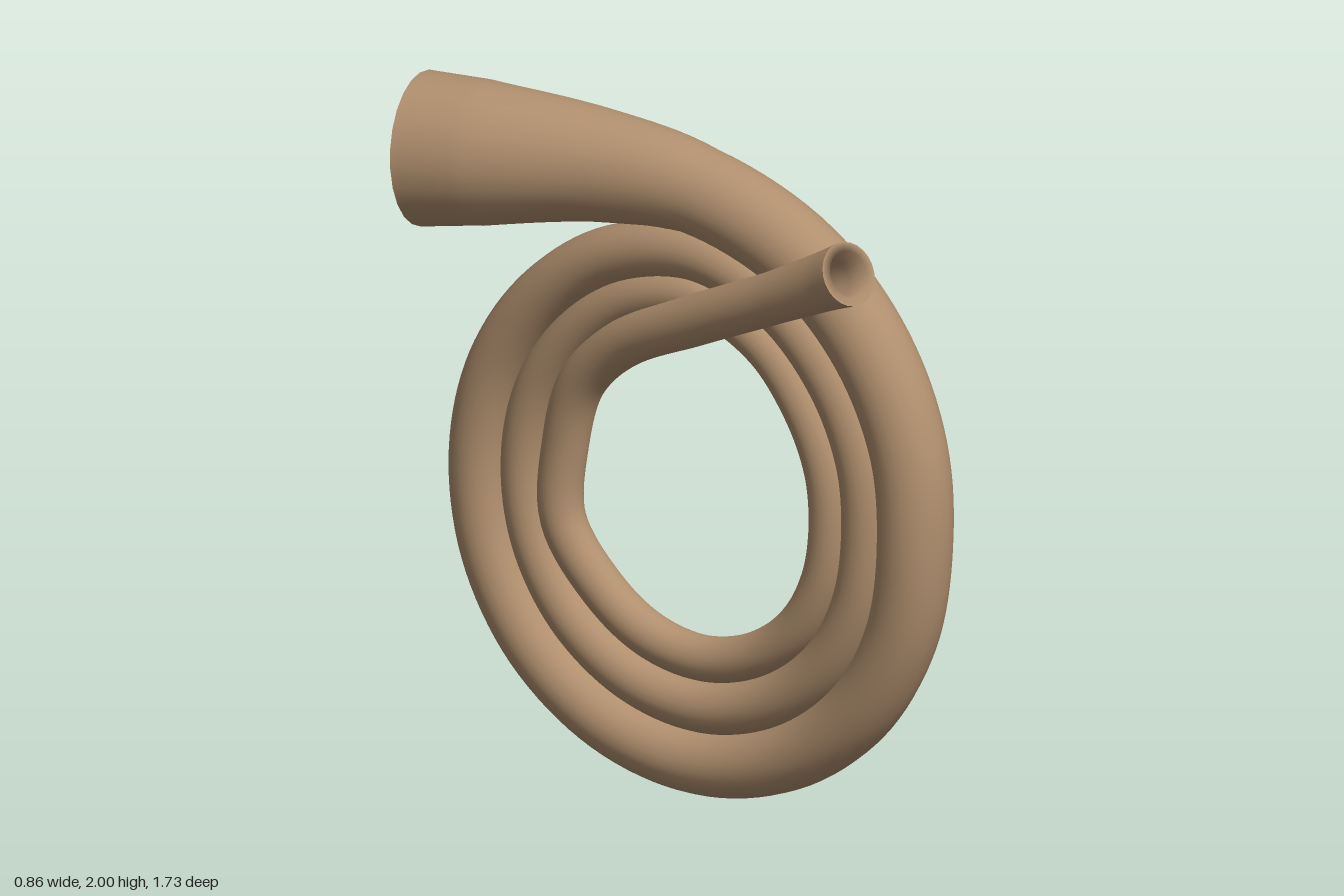
import * as THREE from 'three';

const SIDES = 24;

// Centre line and bore of the whole tube, from wide mouth to narrow end
function layout() {
  const path = [], bore = [];
  const add = (x, y, z, r) => { path.push(new THREE.Vector3(x, y, z)); bore.push(r); };

  // flared mouth leading into the coil
  add(-0.23, 1.778, -0.78, 0.222);
  add(-0.145, 1.793, -0.6, 0.207);
  add(0.015, 1.802, -0.3, 0.163);
  add(0.14, 1.775, 0, 0.128);

  // shrinking spiral in a tilted plane: distance per eighth turn, bore per quarter turn
  const dist = [0.88, 0.78, 0.715, 0.745, 0.78, 0.765, 0.73, 0.725, 0.73, 0.62, 0.55,
    0.58, 0.615, 0.61, 0.59, 0.59, 0.595, 0.475, 0.42, 0.445, 0.475, 0.475];
  const size = [0.125, 0.108, 0.092, 0.087, 0.08, 0.075, 0.076, 0.067, 0.067, 0.063, 0.066, 0.066];
  const spiral = new THREE.SplineCurve(dist.map((d, i) => new THREE.Vector2(i, d)));
  for (let q = 0.25; q <= 10.5; q += 0.25) {
    const a = q * Math.PI / 2, d = spiral.getPoint(q / 10.5).y, k = Math.floor(q);
    const z = 0.03 + d * Math.sin(a);
    const x = 0.1 + 0.29 * z + 0.0023 * q + 0.05 * Math.max(0, 1 - q);
    add(x, 0.87 + d * Math.cos(a), z, THREE.MathUtils.lerp(size[k], size[k + 1], q - k));
  }

  // narrow pipe crossing the side of the coil
  add(-0.01, 0.72, -0.43, 0.066);
  add(-0.005, 0.95, -0.425, 0.067);
  add(0.005, 1.14, -0.365, 0.069);
  add(0.03, 1.285, -0.22, 0.072);
  add(0.065, 1.425, 0.07, 0.074);
  add(0.105, 1.565, 0.38, 0.076);
  add(0.13, 1.665, 0.59, 0.086);
  add(0.135, 1.705, 0.675, 0.093);
  return { curve: new THREE.CatmullRomCurve3(path), bore };
}

// Skin circular rings placed at stations [t, radius scale] along the path
function sweep({ curve, bore }, stations) {
  const pos = [], index = [];
  const planeNormal = new THREE.Vector3(1, 0, -0.29).normalize();
  stations.forEach(([t, scale], i) => {
    const p = curve.getPoint(t), tan = curve.getTangent(t);
    const v = planeNormal.clone().addScaledVector(tan, -planeNormal.dot(tan)).normalize();
    const u = v.clone().cross(tan);
    const f = t * (bore.length - 1), k = Math.min(Math.floor(f), bore.length - 2);
    const r = scale * THREE.MathUtils.lerp(bore[k], bore[k + 1], f - k);
    for (let j = 0; j < SIDES; j++) {
      const a = j / SIDES * Math.PI * 2;
      const q = p.clone().addScaledVector(u, r * Math.cos(a)).addScaledVector(v, r * Math.sin(a));
      pos.push(q.x, q.y, q.z);
      if (i === 0) continue;
      const a1 = (i - 1) * SIDES + j, b1 = (i - 1) * SIDES + (j + 1) % SIDES;
      index.push(a1, b1, a1 + SIDES, b1, b1 + SIDES, a1 + SIDES);
    }
  });
  const g = new THREE.BufferGeometry();
  g.setAttribute('position', new THREE.Float32BufferAttribute(pos, 3));
  g.setIndex(index);
  g.computeVertexNormals();
  return g;
}

export function createModel() {
  const group = new THREE.Group();
  group.name = 'coiledHorn';
  const tan = new THREE.MeshStandardMaterial({ color: 0xb08f6e });
  tan.name = 'tan';
  const tube = layout();
  const add = (name, stations) => {
    const mesh = new THREE.Mesh(sweep(tube, stations), tan);
    mesh.name = name;
    group.add(mesh);
  };

  // outer skin of the coil
  const steps = 424;
  add('coiledTube', Array.from({ length: steps + 1 }, (_, i) => [i / steps, 1]));

  // hollow mouth: closed floor, thin inner wall, rim
  add('mouthBore', [[0.03, 0], [0.029, 0.5], [0.026, 0.8], [0.02, 0.91], [0.01, 0.93], [0, 0.94], [0, 1]]);

  // hollow narrow end: rim, inner wall, closed floor
  add('pipeBore', [[1, 1], [1, 0.72], [0.985, 0.66], [0.97, 0.6], [0.965, 0]]);
  return group;
}
